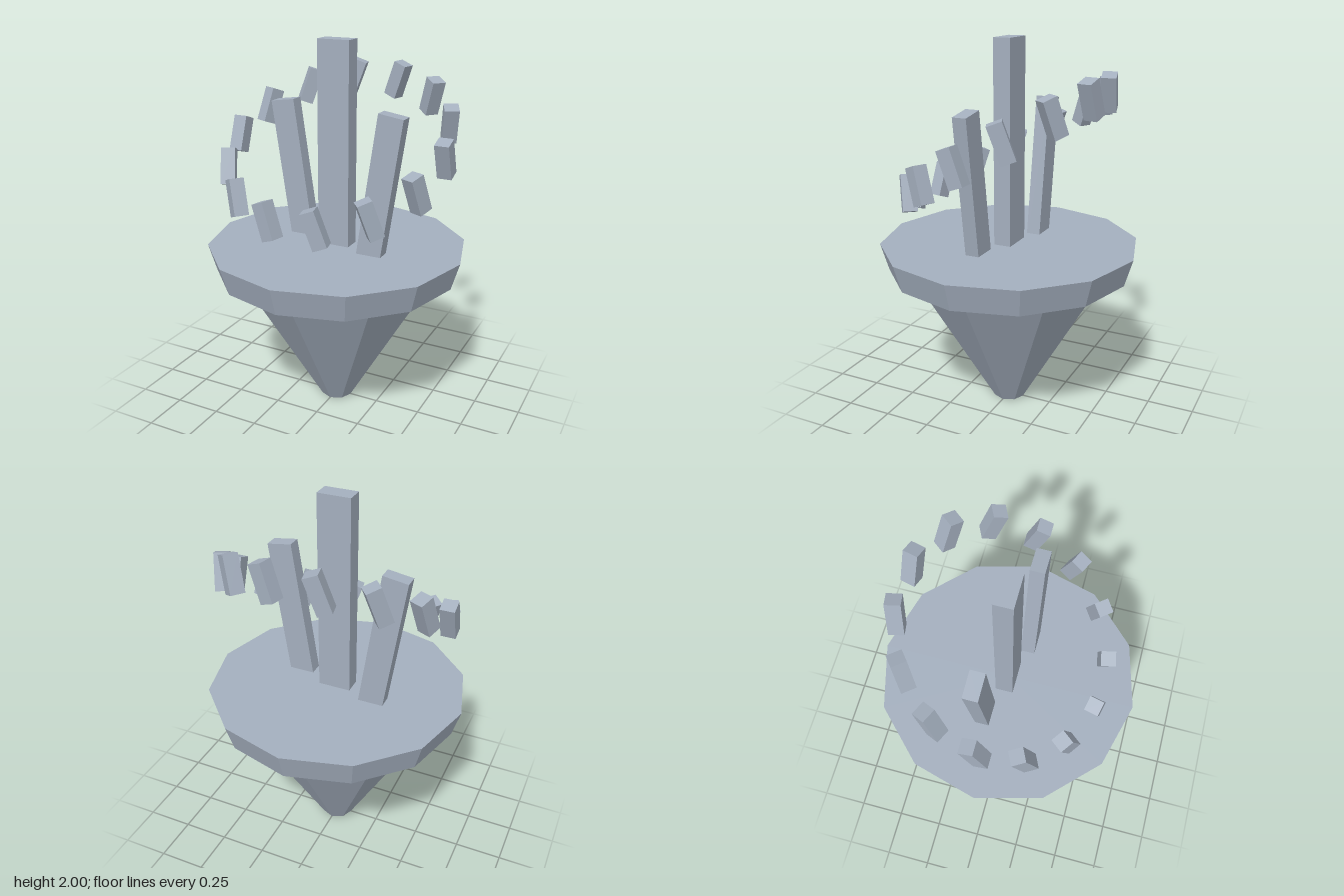
import * as THREE from 'three';

export function createModel() {
  const model = new THREE.Group();
  const stone = new THREE.MeshStandardMaterial({ color: 0xa4afbe, flatShading: true });
  stone.name = 'blue grey stone';

  function part(name, geometry, x, y, z) {
    const mesh = new THREE.Mesh(geometry, stone);
    mesh.name = name;
    mesh.position.set(x, y, z);
    model.add(mesh);
    return mesh;
  }

  // Tapered underside and the platform resting on it
  part('base', new THREE.CylinderGeometry(0.535, 0.087, 0.78, 8), 0, 0.39, 0);
  part('platform', new THREE.CylinderGeometry(0.693, 0.65, 0.147, 12), 0, 0.852, 0);

  // Tall middle pillar
  part('middlePillar', new THREE.BoxGeometry(0.176, 1.1, 0.094), 0, 1.45, 0);

  // Outward-leaning side pillars, staggered front and back, sunk into the platform
  const lean = 0.147;
  const pillar = new THREE.BoxGeometry(0.135, 0.8, 0.075).translate(0, -0.4, 0);
  for (const side of [-1, 1]) {
    const name = side > 0 ? 'leftPillar' : 'rightPillar';
    part(name, pillar, side * 0.34, 1.662, side * 0.067).rotation.z = -side * lean;
  }

  // Sloping ring of floating blocks, each leaning along the ring
  const block = new THREE.BoxGeometry(0.075, 0.19, 0.075);
  const count = 14;
  for (let i = 0; i < count; i++) {
    const a = (i / count) * Math.PI * 2;
    const mesh = part('ringBlock' + (i + 1), block,
      0.587 * Math.cos(a), 1.46 - 0.285 * Math.sin(a), 0.5 * Math.sin(a));
    mesh.rotation.set(THREE.MathUtils.degToRad(20), -a, 0, 'YXZ');
  }

  return model;
}
